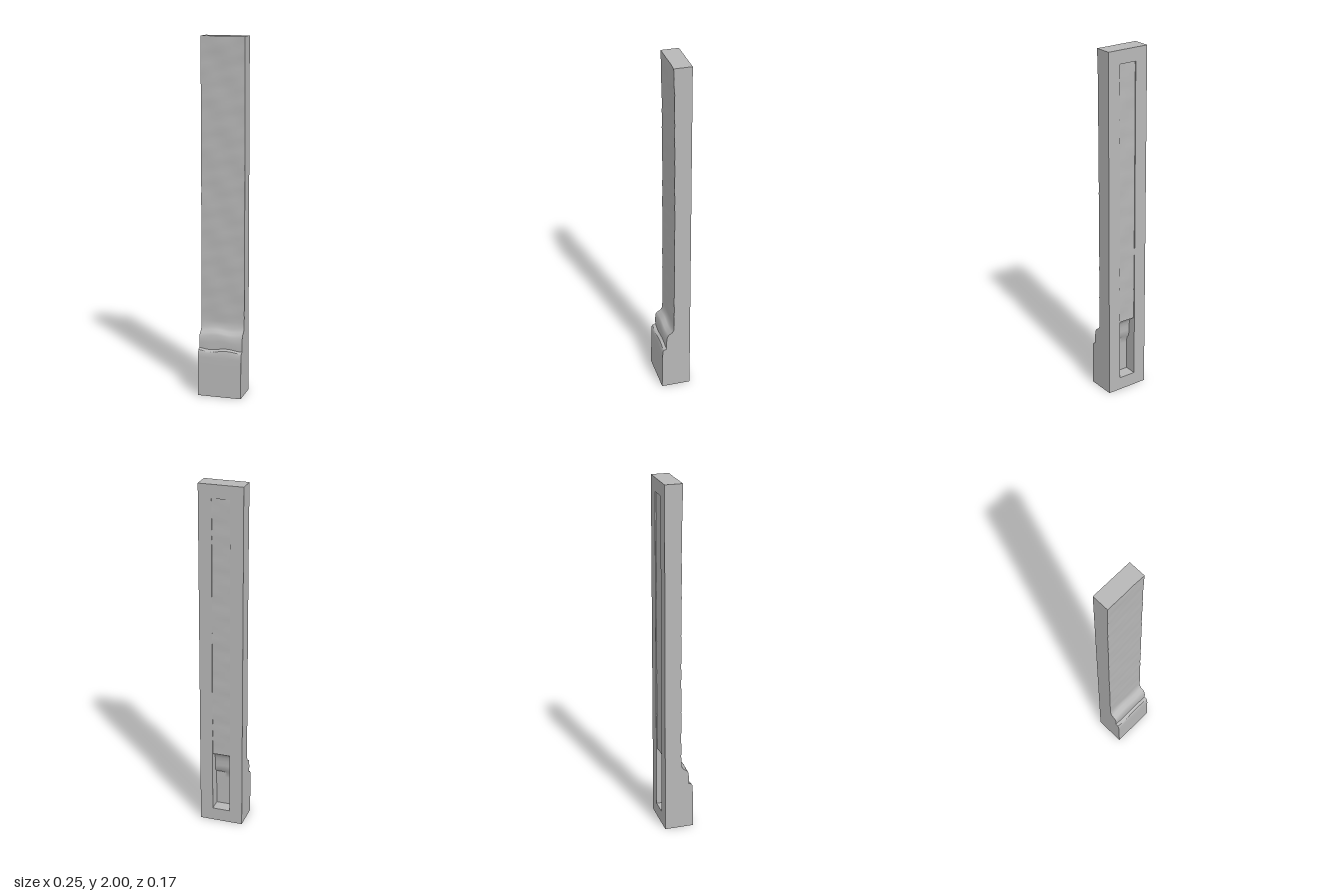
import * as THREE from 'three';
import { toCreasedNormals } from 'three/addons/utils/BufferGeometryUtils.js';

const HALF = 0.124, BACK = -0.083, TOP = 2;
const SLOT = 0.051, SLOT_LOW = 0.075, SLOT_HIGH = 1.925;

// [y, z] profiles of the worn face and of the recess behind it
const FACE = [[0, 0.083], [0.2, 0.08], [0.25, 0.078], [0.262, 0.073], [0.27, 0.056], [0.31, 0.056],
  [0.345, 0.052], [0.358, 0.044], [0.37, 0.024], [0.385, 0.014], [0.42, 0.011], [1.2, 0.009], [1.8, 0.011], [2, 0.016]];
const RECESS = [[SLOT_LOW, -0.01], [0.28, -0.012], [0.3, -0.03], [0.39, -0.036], [0.41, -0.045],
  [0.43, -0.077], [1.2, -0.079], [SLOT_HIGH, -0.077]];

// Subdivide a profile so the surface can undulate
function subdivide(profile) {
  const rows = [];
  for (let i = 0; i < profile.length - 1; i++) {
    const [y0, z0] = profile[i], [y1, z1] = profile[i + 1];
    const n = Math.max(1, Math.round((y1 - y0) / 0.03));
    for (let k = 0; k < n; k++) rows.push([y0 + (y1 - y0) * k / n, z0 + (z1 - z0) * k / n]);
  }
  rows.push(profile[profile.length - 1]);
  return rows;
}

// Gentle unevenness of worn stone
function wear(x, y) {
  const wave = Math.sin(y * 43 + x * 9) + Math.sin(y * 71 - x * 23 + 1) + Math.sin(x * 38 + y * 17);
  return 0.0007 * wave * THREE.MathUtils.smoothstep(y, 0.2, 0.32);
}

function surfacePoint(row, x) {
  const [y, z] = row;
  const step = y > 0.23 && y < 0.4 ? 0.005 * Math.sin(x * 33 + y * 25) : 0;
  return [x, y + step, Math.max(z + wear(x, y), BACK + 0.002)];
}

// Grid surface facing along du x dv
function grid(cols, rows, point) {
  const pos = [], index = [];
  for (let j = 0; j <= rows; j++) for (let i = 0; i <= cols; i++) pos.push(...point(i / cols, j));
  for (let j = 0; j < rows; j++) {
    for (let i = 0; i < cols; i++) {
      const a = j * (cols + 1) + i, c = a + cols + 1;
      index.push(a, a + 1, c + 1, a, c + 1, c);
    }
  }
  const geo = new THREE.BufferGeometry();
  geo.setAttribute('position', new THREE.Float32BufferAttribute(pos, 3));
  geo.setIndex(index);
  return toCreasedNormals(geo, 0.7);
}

export function createModel() {
  const group = new THREE.Group();
  const stone = new THREE.MeshStandardMaterial({ color: 0xb8b8b8 });
  stone.name = 'grey stone';
  const add = (name, geo) => {
    const mesh = new THREE.Mesh(geo, stone);
    mesh.name = name;
    group.add(mesh);
    return mesh;
  };
  const face = subdivide(FACE), recess = subdivide(RECESS);

  // Relief surface; dir = 1 faces forward, -1 faces back
  const relief = (rows, half, dir) => grid(14, rows.length - 1,
    (u, j) => surfacePoint(rows[j], dir * half * (2 * u - 1)));
  // Wall between the back plane and a relief edge; dir = 1 faces +x
  const wall = (rows, x, dir) => grid(1, rows.length - 1, (u, j) => {
    const p = surfacePoint(rows[j], x);
    return (dir > 0 ? u === 1 : u === 0) ? [x, p[1], BACK] : p;
  });
  // Horizontal cap between the back plane and a relief end; dir = 1 faces up
  const cap = (row, half, dir) => grid(14, 1, (u, j) => {
    const p = surfacePoint(row, half * (2 * u - 1));
    return (dir > 0 ? j === 1 : j === 0) ? [p[0], p[1], BACK] : p;
  });

  // Outer body
  add('wornFront', relief(face, HALF, 1));
  add('leftSide', wall(face, HALF, 1));
  add('rightSide', wall(face, -HALF, -1));
  add('topEnd', cap(face[face.length - 1], HALF, 1));
  add('bottomEnd', cap(face[0], HALF, -1));

  // Back frame around the slot
  const frame = new THREE.Shape([[-HALF, 0], [HALF, 0], [HALF, TOP], [-HALF, TOP]].map(p => new THREE.Vector2(...p)));
  frame.holes.push(new THREE.Path([[-SLOT, SLOT_LOW], [-SLOT, SLOT_HIGH], [SLOT, SLOT_HIGH], [SLOT, SLOT_LOW]]
    .map(p => new THREE.Vector2(...p))));
  const back = add('backFrame', new THREE.ShapeGeometry(frame));
  back.rotation.y = Math.PI;
  back.position.z = BACK;

  // Recess that follows the stepped front
  add('recessPanel', relief(recess, SLOT, -1));
  add('recessLeftWall', wall(recess, SLOT, -1));
  add('recessRightWall', wall(recess, -SLOT, 1));
  add('recessFloor', cap(recess[0], SLOT, 1));
  add('recessCeiling', cap(recess[recess.length - 1], SLOT, -1));
  return group;
}
